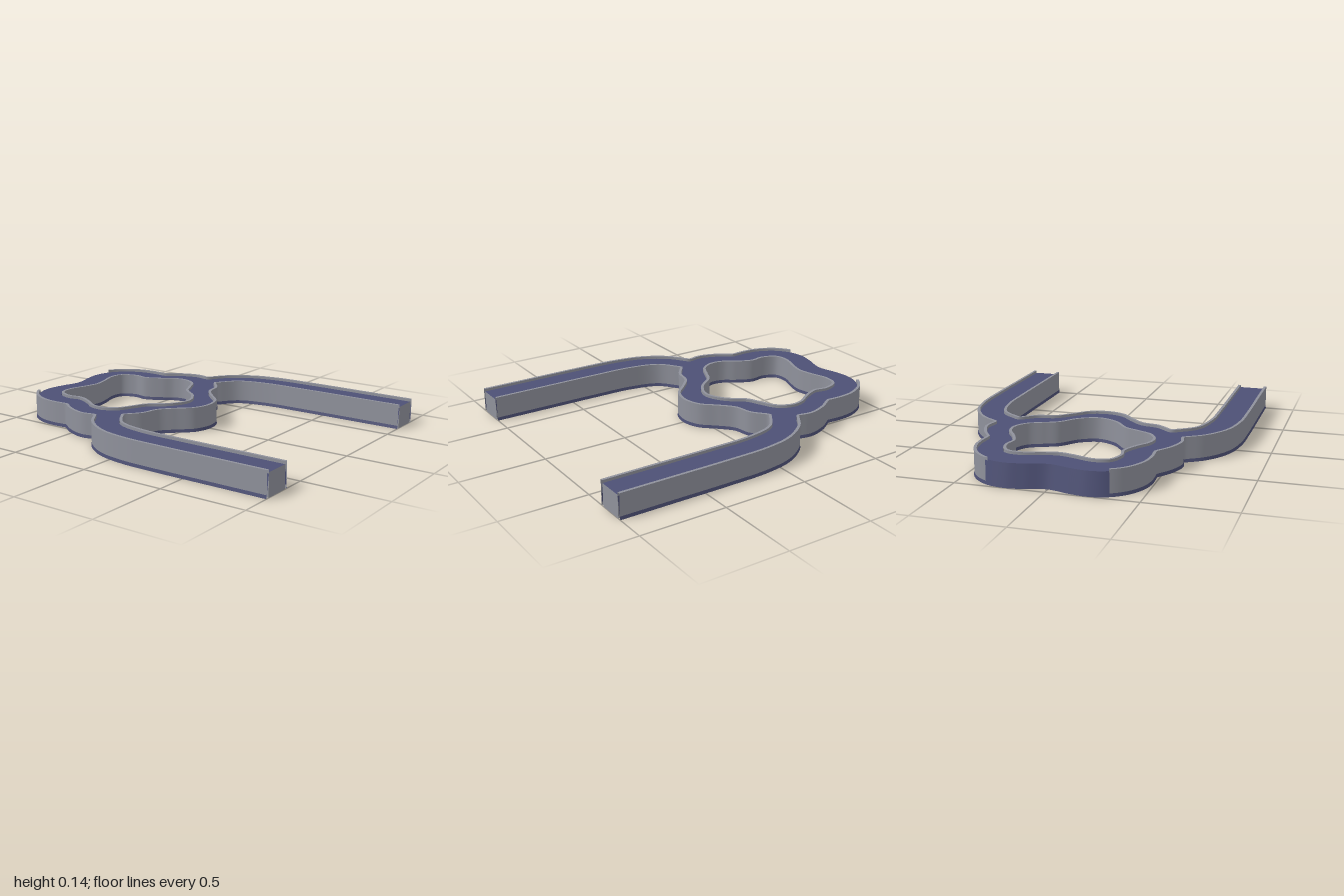
import * as THREE from 'three';

const DECK_Y = 0.13, RIM_Y = 0.145, INSET = 0.021;

const mirror = (pts) => pts.map(([x, z]) => [-x, z]).reverse();

// Smooth curve through [x, z] points, sampled to a polyline
function sample(pts, closed = false) {
  const curve = new THREE.CatmullRomCurve3(pts.map(([x, z]) => new THREE.Vector3(x, 0, z)), closed, 'centripetal');
  const out = curve.getPoints(pts.length * 8).map((p) => [p.x, p.z]);
  if (closed) out.pop();
  return out;
}

// Joins curved pieces with a kink between them; the last piece ends on x = 0
function symmetricPath(pieces) {
  const middle = pieces[pieces.length - 1];
  const sides = pieces.slice(0, -1);
  const all = [...sides, [...middle, ...mirror(middle).slice(1)], ...sides.map(mirror).reverse()];
  return all.flatMap((piece, i) => sample(piece).slice(i ? 1 : 0));
}

// Moves a path towards the middle of the track
function inset({ pts, side, closed }, d) {
  const n = pts.length;
  return pts.map(([x, z], i) => {
    const a = pts[closed ? (i + n - 1) % n : Math.max(i - 1, 0)];
    const b = pts[closed ? (i + 1) % n : Math.min(i + 1, n - 1)];
    const dx = b[0] - a[0], dz = b[1] - a[1], len = Math.hypot(dx, dz);
    return [x + (side * d * dz) / len, z - (side * d * dx) / len];
  });
}

// Strip of quads between two polylines at heights ya and yb
function ribbon(a, ya, b, yb, closed) {
  const pos = [], index = [], n = a.length;
  for (let i = 0; i < n; i++) pos.push(a[i][0], ya, a[i][1], b[i][0], yb, b[i][1]);
  for (let i = 0; i < (closed ? n : n - 1); i++) {
    const p = 2 * i, q = 2 * ((i + 1) % n);
    index.push(p, q, p + 1, q, q + 1, p + 1);
  }
  const g = new THREE.BufferGeometry();
  g.setAttribute('position', new THREE.Float32BufferAttribute(pos, 3));
  g.setIndex(index);
  g.computeVertexNormals();
  return g;
}

export function createModel() {
  const model = new THREE.Group();
  const navy = new THREE.MeshStandardMaterial({ color: 0x4d5075, side: THREE.DoubleSide });
  navy.name = 'navy';
  const grey = new THREE.MeshStandardMaterial({ color: 0x8f919b, side: THREE.DoubleSide });
  grey.name = 'grey';
  const add = (name, geometry, material, parent = model) => {
    const mesh = new THREE.Mesh(geometry, material);
    mesh.name = name;
    parent.add(mesh);
    return mesh;
  };

  // Outside edge: leg, side lobe, back lobes
  const outer = {
    name: 'outer', side: 1, closed: false,
    pts: symmetricPath([
      [[0.82, 1], [0.82, 0.7], [0.82, 0.35], [0.811, 0.09], [0.77, -0.09], [0.675, -0.235], [0.565, -0.315]],
      [[0.565, -0.315], [0.578, -0.4], [0.545, -0.51], [0.485, -0.605]],
      [[0.485, -0.605], [0.49, -0.7], [0.475, -0.8], [0.415, -0.91], [0.32, -0.98], [0.22, -1], [0.12, -0.985], [0, -0.955]],
    ]),
  };
  // Edge between the legs, round the front lobe
  const front = {
    name: 'front', side: -1, closed: false,
    pts: symmetricPath([
      [[0.63, 1], [0.63, 0.7], [0.63, 0.35], [0.622, 0.09], [0.575, -0.08], [0.46, -0.175]],
      [[0.46, -0.175], [0.37, -0.105], [0.27, -0.08], [0.195, -0.015], [0.11, 0.07], [0, 0.1]],
    ]),
  };
  // Edge of the central opening
  const half = [[0, -0.765], [0.08, -0.78], [0.2, -0.815], [0.275, -0.8], [0.31, -0.72], [0.3, -0.635], [0.345, -0.53],
    [0.39, -0.46], [0.4, -0.385], [0.36, -0.31], [0.275, -0.265], [0.195, -0.225], [0.105, -0.12], [0, -0.075]];
  const hole = { name: 'opening', side: 1, closed: true, pts: sample([...half, ...mirror(half).slice(1, -1)], true) };

  // Deck
  const flat = (path) => inset(path, INSET).map(([x, z]) => new THREE.Vector2(x, -z));
  const shape = new THREE.Shape([...flat(outer), ...flat(front).reverse()]);
  shape.holes.push(new THREE.Path(flat(hole)));
  const deck = add('deck', new THREE.ShapeGeometry(shape).rotateX(-Math.PI / 2), navy);
  deck.position.y = DECK_Y;

  for (const path of [outer, front, hole]) {
    const group = new THREE.Group();
    group.name = path.name + 'Edge';
    model.add(group);
    const edge = inset(path, INSET), core = inset(path, INSET + 0.002);
    // Flared skirt and upright lining beneath the deck
    add('skirt', ribbon(edge, DECK_Y, path.pts, 0, path.closed), navy, group);
    add('lining', ribbon(core, DECK_Y - 0.002, core, 0, path.closed), grey, group);

    // Upright side wall with a raised rim, left open at the back
    const wall = inset(path, 0.003), lip = inset(path, 0.019);
    const isOpen = ([x, z]) => path === outer && Math.abs(x) < 0.34 && z < -0.9;
    const first = path.pts.findIndex(isOpen);
    const end = path.pts.length;
    const last = end - 1 - [...path.pts].reverse().findIndex(isOpen);
    const runs = first < 0 ? [[0, end]] : [[0, first + 1], [last, end]];
    for (const [s, e] of runs) {
      const w = wall.slice(s, e), l = lip.slice(s, e);
      add('sideWall', ribbon(w, RIM_Y, w, 0, path.closed), grey, group);
      add('rimTop', ribbon(w, RIM_Y, l, RIM_Y, path.closed), grey, group);
      add('rimInside', ribbon(l, RIM_Y, l, DECK_Y - 0.006, path.closed), grey, group);
    }
  }

  // Closing plates at the leg ends
  for (const s of [-1, 1]) {
    const cap = add('endPlate', new THREE.PlaneGeometry(0.15, DECK_Y), grey);
    cap.position.set(s * 0.725, DECK_Y / 2, 1);
  }
  return model;
}
